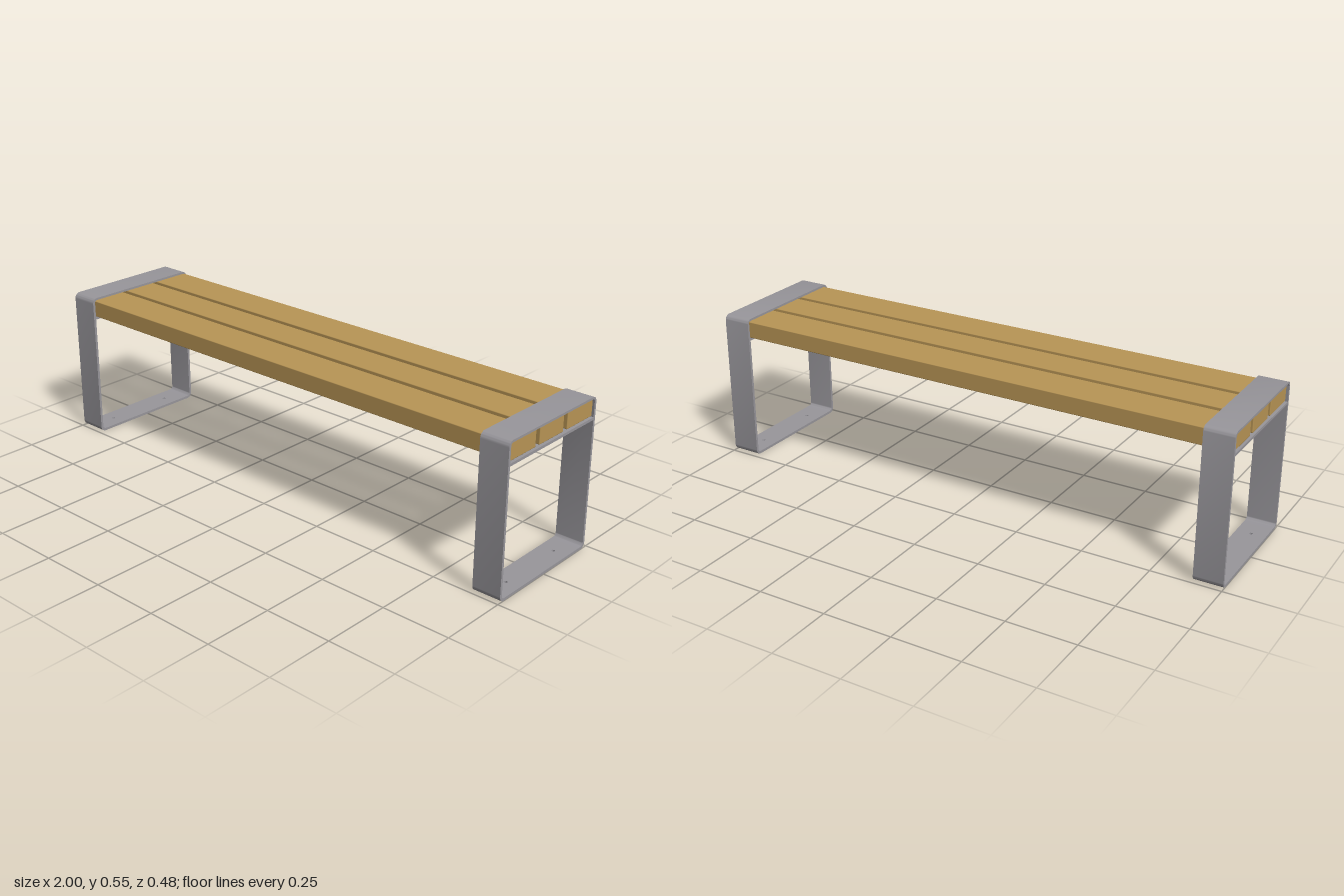
import * as THREE from 'three';
import { toCreasedNormals } from 'three/addons/utils/BufferGeometryUtils.js';
import { RoundedBoxGeometry } from 'three/addons/geometries/RoundedBoxGeometry.js';

const WIDTH = 0.105;   // width of the steel band along x
const THICK = 0.0095;  // thickness of the steel band
const GAP = 0.2;       // half length of the drilled foot plate

// Corner points of the loop as [z, y], starting at the front foot
const OUTER = [[0.24, 0], [0.241, 0.548], [-0.236, 0.546], [-0.239, 0]];

// Walks round the corners, rounding each one by radius r
function roundCorners(path, corners, r) {
  corners.forEach(([z, y], i) => {
    const before = i ? corners[i - 1] : [0, y];
    const after = i < corners.length - 1 ? corners[i + 1] : [0, y];
    const toward = (p) => {
      const d = Math.hypot(p[0] - z, p[1] - y);
      return [z + (p[0] - z) * r / d, y + (p[1] - y) * r / d];
    };
    const [a, b] = [toward(before), toward(after)];
    path.lineTo(...a);
    // cubic close to a circular arc
    const k = 0.552;
    path.bezierCurveTo(
      a[0] + (z - a[0]) * k, a[1] + (y - a[1]) * k,
      b[0] + (z - b[0]) * k, b[1] + (y - b[1]) * k, ...b);
  });
}

// Steel loop, open where the foot plate fits
function bandGeometry() {
  const inner = OUTER.map(([z, y]) => [z - Math.sign(z) * THICK, y > 0.1 ? y - 0.008 : THICK]);
  const shape = new THREE.Shape();
  shape.moveTo(GAP, 0);
  roundCorners(shape, OUTER, 0.021);
  shape.lineTo(-GAP, 0);
  shape.lineTo(-GAP, THICK);
  roundCorners(shape, inner.reverse(), 0.011);
  shape.lineTo(GAP, THICK);
  const geo = new THREE.ExtrudeGeometry(shape, { depth: WIDTH, bevelEnabled: false, curveSegments: 8 });
  geo.translate(0, 0, -WIDTH / 2).rotateY(-Math.PI / 2);
  return toCreasedNormals(geo, 0.6);
}

// Foot plate with two bolt holes
function footGeometry() {
  const w = WIDTH / 2;
  const shape = new THREE.Shape();
  shape.moveTo(-w, -GAP).lineTo(w, -GAP).lineTo(w, GAP).lineTo(-w, GAP).closePath();
  for (const z of [-0.135, 0.135]) {
    shape.holes.push(new THREE.Path().absarc(0, z, 0.006, 0, Math.PI * 2, true));
  }
  const geo = new THREE.ExtrudeGeometry(shape, { depth: THICK, bevelEnabled: false, curveSegments: 10 });
  geo.rotateX(-Math.PI / 2);
  return toCreasedNormals(geo, 0.7);
}

export function createModel() {
  const steel = new THREE.MeshStandardMaterial({ color: 0x98969b });
  steel.name = 'grey steel';
  const wood = new THREE.MeshStandardMaterial({ color: 0xb89555 });
  wood.name = 'light wood';

  const bench = new THREE.Group();
  bench.name = 'bench';
  const add = (parent, name, geo, mat, x, y, z) => {
    const mesh = new THREE.Mesh(geo, mat);
    mesh.name = name;
    mesh.position.set(x, y, z);
    parent.add(mesh);
  };

  // End frames
  const band = bandGeometry();
  const foot = footGeometry();
  const shelf = new THREE.BoxGeometry(WIDTH, 0.0095, 0.464);
  for (const [name, side] of [['left', 1], ['right', -1]]) {
    const frame = new THREE.Group();
    frame.name = name + 'Frame';
    frame.position.x = side * (1 - WIDTH / 2);
    add(frame, 'legLoop', band, steel, 0, 0, 0);
    add(frame, 'footPlate', foot, steel, 0, 0, 0);
    add(frame, 'seatSupport', shelf, steel, 0, 0.4685, 0);
    bench.add(frame);
  }

  // Seat planks, running through both frames
  const planks = [['frontPlank', 0.229, 0.0875], ['middlePlank', 0.067, -0.064], ['backPlank', -0.085, -0.228]];
  for (const [name, z1, z0] of planks) {
    add(bench, name, new RoundedBoxGeometry(1.985, 0.062, z1 - z0, 2, 0.003), wood, 0, 0.506, (z1 + z0) / 2);
  }
  return bench;
}
